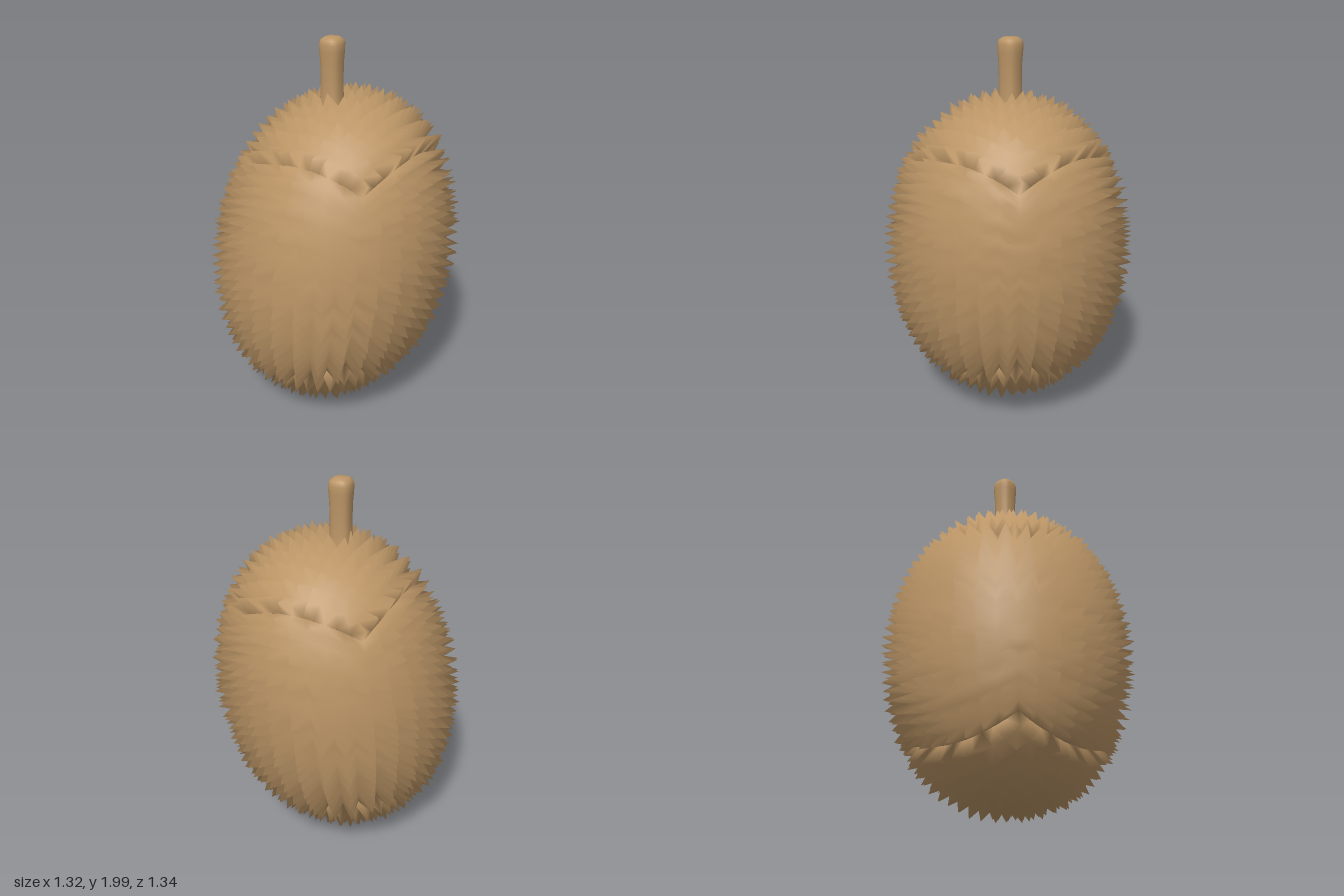
import * as THREE from 'three';
import { mergeVertices } from 'three/addons/utils/BufferGeometryUtils.js';

const CENTRE_Y = 0.88;
const RADII = new THREE.Vector3(0.525, 0.78, 0.54);
const COLUMNS = 8, ROWS = 20; // spikes across and down each of the four sides
const CAP = 12; // spikes across the finer top and bottom caps

// small seeded random number, -1 to 1
let seed = 7;
function jitter() {
  seed = (seed * 16807) % 2147483647;
  return (seed / 2147483647) * 2 - 1;
}

// Point on the plump husk in the given direction, raised along the normal; the top leans a little
function huskPoint(dir, lift = 0) {
  const d = dir.clone().normalize();
  const p = 2.25;
  d.multiplyScalar(Math.pow(Math.pow(Math.hypot(d.x, d.z), p) + Math.pow(Math.abs(d.y), p), -1 / p));
  const normal = d.clone().divide(RADII).normalize();
  const point = d.multiply(RADII).addScaledVector(normal, lift);
  point.x += 0.06 * point.y;
  point.z -= 0.065 * point.y;
  point.y += CENTRE_Y;
  return point;
}

// One patch of the husk: a grid whose every cell rises into a four-sided spike
function addPatch(positions, right, up, out, columns, rows) {
  const direction = (i, j) => out.clone()
    .addScaledVector(right, Math.tan((i / columns - 0.5) * Math.PI / 2))
    .addScaledVector(up, Math.tan((j / rows - 0.5) * Math.PI / 2));
  for (let j = 0; j < rows; j++) {
    for (let i = 0; i < columns; i++) {
      const corners = [[i, j], [i + 1, j], [i + 1, j + 1], [i, j + 1]].map(([a, b]) => huskPoint(direction(a, b)));
      const tipDir = direction(i + 0.5 + jitter() * 0.06, j + 0.5 + jitter() * 0.15);
      const slope = Math.abs(tipDir.clone().normalize().y);
      const tip = huskPoint(tipDir, 0.13 - 0.04 * slope + jitter() * 0.008);
      for (let k = 0; k < 4; k++) {
        for (const v of [corners[k], corners[(k + 1) % 4], tip]) positions.push(v.x, v.y, v.z);
      }
    }
  }
}

// Weld matching corners so the shading runs smoothly over the spikes
function smooth(geometry) {
  const welded = mergeVertices(geometry, 1e-4);
  welded.computeVertexNormals();
  return welded;
}

function makeHusk() {
  const positions = [];
  const yAxis = new THREE.Vector3(0, 1, 0);
  for (let k = 0; k < 4; k++) {
    const a = k * Math.PI / 2;
    const out = new THREE.Vector3(Math.round(Math.sin(a)), 0, Math.round(Math.cos(a)));
    addPatch(positions, yAxis.clone().cross(out), yAxis, out, COLUMNS, ROWS);
  }
  // top and bottom caps
  for (const s of [1, -1]) {
    addPatch(positions, new THREE.Vector3(1, 0, 0), new THREE.Vector3(0, 0, -s), new THREE.Vector3(0, s, 0), CAP, CAP);
  }
  const geometry = new THREE.BufferGeometry();
  geometry.setAttribute('position', new THREE.Float32BufferAttribute(positions, 3));
  return smooth(geometry);
}

// Stalk: a lathe squared off slightly, with a rounded tip
function makeStem() {
  const profile = [
    [0.075, 1.58], [0.06, 1.66], [0.053, 1.72], [0.052, 1.8], [0.054, 1.88],
    [0.058, 1.93], [0.059, 1.965], [0.052, 1.987], [0.035, 1.998], [0, 2],
  ].map(([r, y]) => new THREE.Vector2(r, y));
  const geometry = new THREE.LatheGeometry(profile, 24);
  const pos = geometry.attributes.position;
  for (let i = 0; i < pos.count; i++) {
    const x = pos.getX(i), z = pos.getZ(i);
    const a = Math.atan2(z, x);
    const square = Math.pow(Math.cos(a) ** 4 + Math.sin(a) ** 4, -0.15);
    pos.setXYZ(i, x * square - 0.018, pos.getY(i), z * square - 0.003);
  }
  geometry.deleteAttribute('uv');
  geometry.deleteAttribute('normal');
  return smooth(geometry);
}

export function createModel() {
  const group = new THREE.Group();
  group.name = 'spikyFruit';
  const tan = new THREE.MeshStandardMaterial({ color: 0xbb9566 });
  tan.name = 'tanHusk';

  const husk = new THREE.Mesh(makeHusk(), tan);
  husk.name = 'spikyHusk';
  const stem = new THREE.Mesh(makeStem(), tan);
  stem.name = 'stem';
  group.add(husk, stem);
  return group;
}
